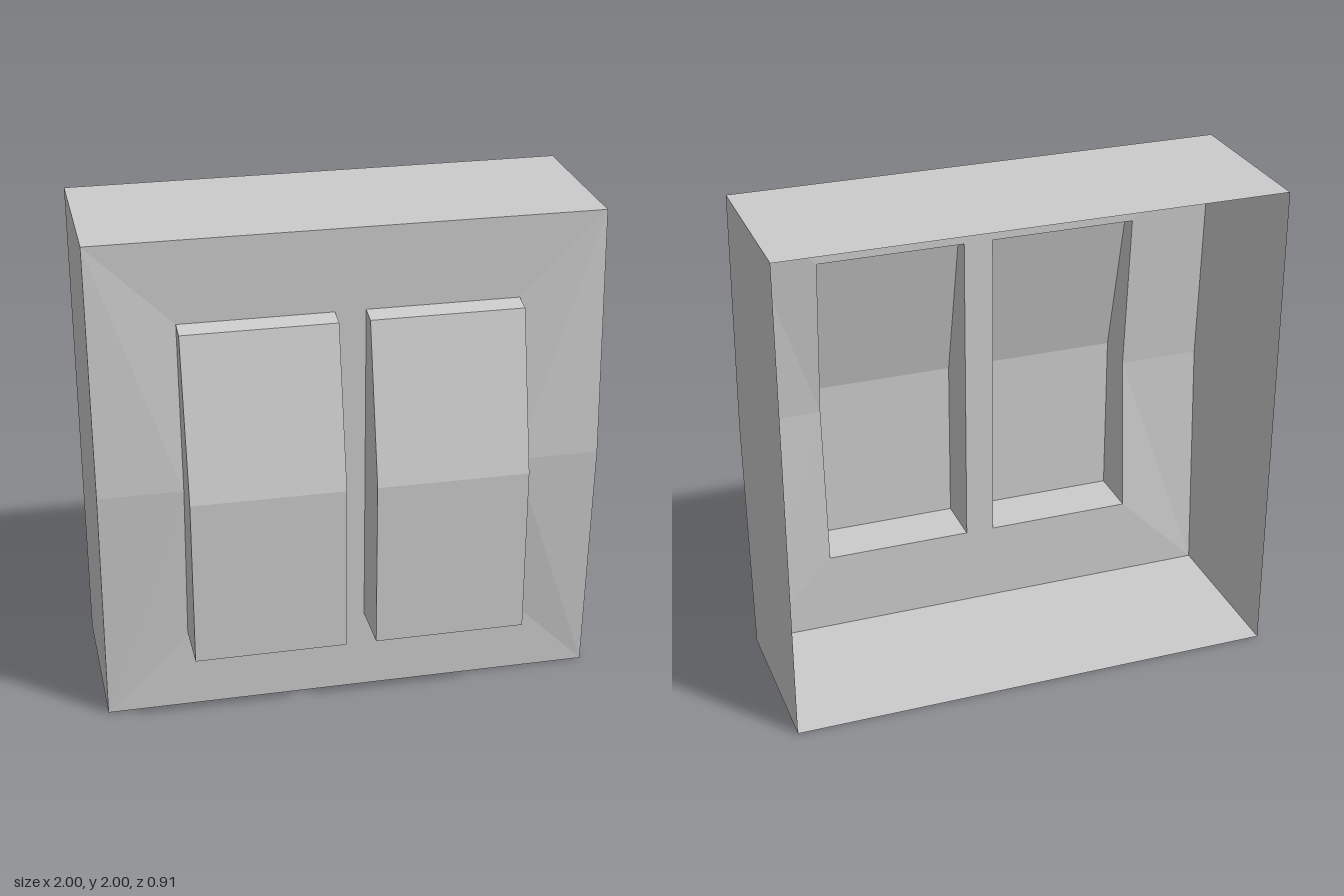
import * as THREE from 'three';

const BACK = -0.455, EDGE = 0.235, BULGE = 0.287;   // depths of the open back, the flat face and the bulge
const IN = 0.06, OUT = 0.665;                       // inner and outer x of each rocker
const LOW = 0.335, HIGH = 1.67;                     // bottom and top of each rocker opening

const material = new THREE.MeshStandardMaterial({
  color: 0xcccccc, flatShading: true, side: THREE.DoubleSide,
});

// Flat-shaded mesh from polygons, each fanned from its first corner
function polygonMesh(name, polygons) {
  const positions = [];
  for (const p of polygons) {
    for (let i = 1; i < p.length - 1; i++) positions.push(...p[0], ...p[i], ...p[i + 1]);
  }
  const geometry = new THREE.BufferGeometry();
  geometry.setAttribute('position', new THREE.Float32BufferAttribute(positions, 3));
  geometry.computeVertexNormals();
  const mesh = new THREE.Mesh(geometry, material);
  mesh.name = name;
  return mesh;
}

// Mirror polygons across x = 0, keeping them facing outwards
const mirror = (polygons) =>
  polygons.map((p) => p.map(([x, y, z]) => [-x, y, z]).reverse());

// Mirrored copy that keeps the fan starting from the same corner
const mirrorFan = (polygons) =>
  mirror(polygons).map((p) => [p[p.length - 1], ...p.slice(0, -1)]);

// Open-backed casing with two openings in its front
function casing() {
  const centre = [
    [[-1, 2, EDGE], [1, 2, EDGE], [1, 2, BACK], [-1, 2, BACK]],                        // top wall
    [[-1, 0, BACK], [1, 0, BACK], [1, 0, EDGE], [-1, 0, EDGE]],                        // bottom wall
    [[-OUT, HIGH, EDGE], [OUT, HIGH, EDGE], [1, 2, EDGE], [-1, 2, EDGE]],              // upper band
    [[-1, 0, EDGE], [1, 0, EDGE], [OUT, LOW, EDGE], [-OUT, LOW, EDGE]],                // lower band
    [[-IN, LOW, EDGE], [IN, LOW, EDGE], [IN, HIGH, EDGE], [-IN, HIGH, EDGE]],          // strip between rockers
  ];
  const half = [
    [[1, 0, BACK], [1, 2, BACK], [1, 2, EDGE], [1, 1, BULGE], [1, 0, EDGE]],           // side wall
    [[1, 2, EDGE], [OUT, HIGH, EDGE], [OUT, 1, BULGE], [1, 1, BULGE]],                 // upper cheek
    [[1, 0, EDGE], [1, 1, BULGE], [OUT, 1, BULGE], [OUT, LOW, EDGE]],                  // lower cheek
  ];
  return polygonMesh('casing', [...centre, ...half, ...mirrorFan(half)]);
}

// Hollow rocker: tilted upper face, upright lower face, open at the back
function rockerPolygons() {
  const profile = [[HIGH, EDGE], [1.655, 0.31], [1.02, 0.455], [LOW, 0.455], [LOW, EDGE]];
  const at = (x) => ([y, z]) => [x, y, z];
  const polygons = [
    [[OUT, 1, BULGE], ...profile.map(at(OUT))],   // outer side follows the bulge
    profile.map(at(IN)).reverse(),                // inner side
  ];
  for (let i = 0; i < profile.length - 1; i++) {
    const a = profile[i], b = profile[i + 1];
    polygons.push([at(IN)(a), at(IN)(b), at(OUT)(b), at(OUT)(a)]);
  }
  return polygons;
}

export function createModel() {
  const model = new THREE.Group();
  model.name = 'doubleRockerSwitch';
  const rocker = rockerPolygons();
  model.add(
    casing(),
    polygonMesh('leftRocker', rocker),
    polygonMesh('rightRocker', mirrorFan(rocker)),
  );
  return model;
}
